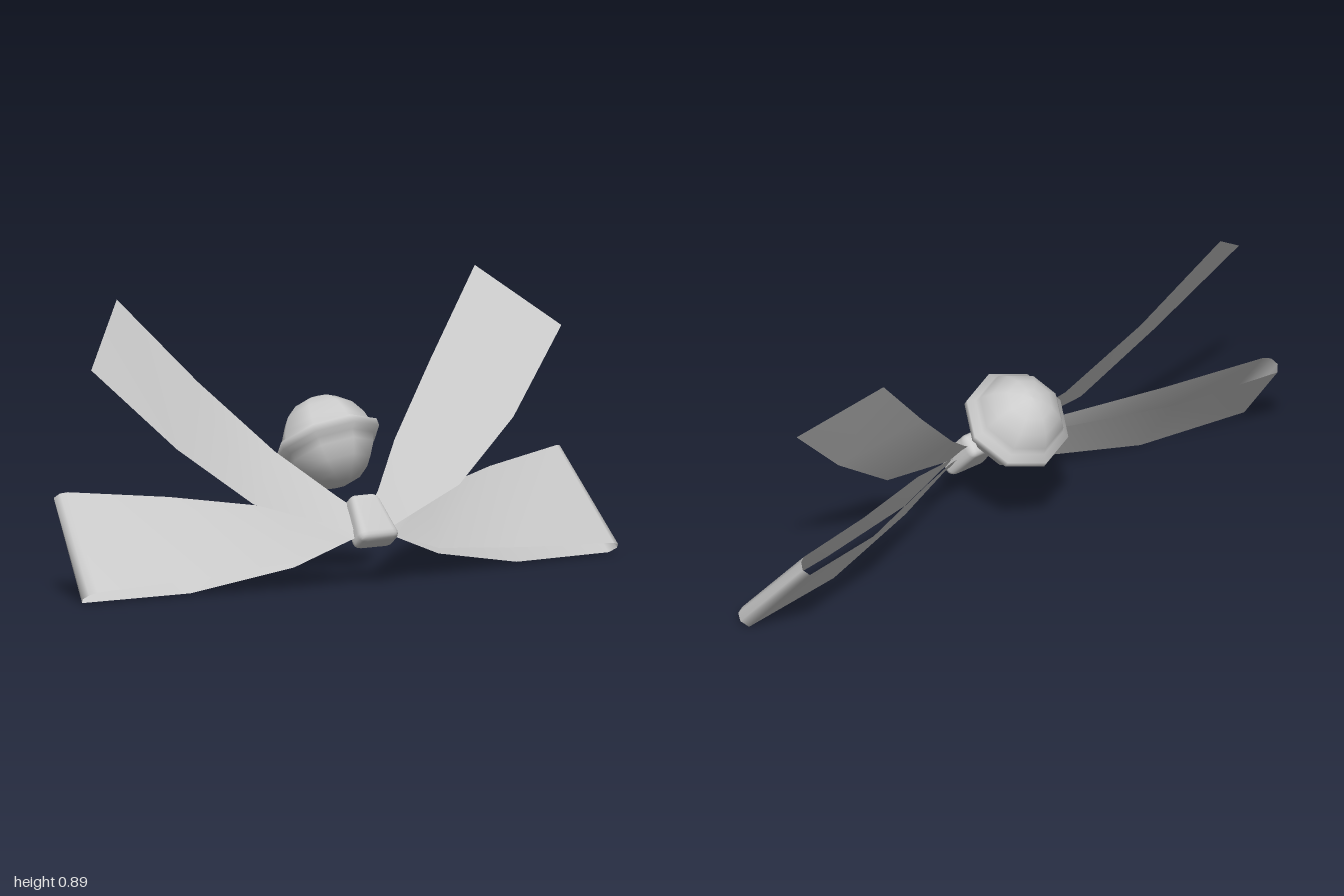
import * as THREE from 'three';
import { mergeVertices } from 'three/addons/utils/BufferGeometryUtils.js';
import { RoundedBoxGeometry } from 'three/addons/geometries/RoundedBoxGeometry.js';

const material = new THREE.MeshStandardMaterial({ color: 0xcccccc, side: THREE.DoubleSide });

function addMesh(parent, name, geometry) {
  const mesh = new THREE.Mesh(geometry, material);
  mesh.name = name;
  parent.add(mesh);
  return mesh;
}

// Ribbon spanned between two edge lines; side = 1 or -1 mirrors it in x
function ribbon(lower, upper, side) {
  const positions = [], index = [];
  lower.forEach((p, i) => {
    for (const [x, y, z] of [p, upper[i]]) positions.push(x * side, y, z);
    if (i === 0) return;
    const a = 2 * (i - 1), b = a + 1, c = a + 2, d = a + 3;
    if (side > 0) index.push(a, c, d, a, d, b);
    else index.push(a, d, c, a, b, d);
  });
  const geometry = new THREE.BufferGeometry();
  geometry.setAttribute('position', new THREE.Float32BufferAttribute(positions, 3));
  geometry.setIndex(index);
  geometry.computeVertexNormals();
  return geometry;
}

// Loop edges: out along the front layer, round the end, back along the rear layer
const loopLower = [
  [0.03, 0.16, 0.2], [0.09, 0.145, 0.195], [0.26, 0.09, 0.17], [0.6, 0.06, 0.13], [0.965, 0.04, 0.095],
  [0.99, 0.032, 0.085], [1, 0.017, 0.062], [0.985, 0.002, 0.038],
  [0.61, 0.008, 0.085], [0.27, 0.07, 0.155], [0.09, 0.14, 0.185], [0.03, 0.16, 0.19],
];
const loopUpper = [
  [0.03, 0.19, 0.17], [0.09, 0.19, 0.165], [0.28, 0.25, 0.08], [0.6, 0.293, -0.05], [0.915, 0.322, -0.145],
  [0.935, 0.318, -0.158], [0.945, 0.303, -0.178], [0.93, 0.287, -0.195],
  [0.6, 0.25, -0.1], [0.28, 0.225, 0.05], [0.09, 0.185, 0.155], [0.03, 0.19, 0.16],
];
// Tail edges from the knot to the tip
const tailLower = [[0.03, 0.165, 0.195], [0.09, 0.178, 0.18], [0.385, 0.27, 0.1], [0.63, 0.455, 0.037], [0.88, 0.71, -0.067]];
const tailUpper = [[0.03, 0.235, 0.13], [0.08, 0.275, 0.1], [0.225, 0.41, -0.022], [0.435, 0.63, -0.135], [0.67, 0.895, -0.236]];

export function createModel() {
  const model = new THREE.Group();
  model.name = 'bowWithBell';

  // Loops and tails, mirrored left and right
  for (const [label, side] of [['left', 1], ['right', -1]]) {
    addMesh(model, label + 'Loop', ribbon(loopLower, loopUpper, side));
    addMesh(model, label + 'Tail', ribbon(tailLower, tailUpper, side));
  }

  // Knot: soft block, narrowing towards the top
  let knot = new RoundedBoxGeometry(0.13, 0.165, 0.08, 2, 0.025);
  const p = knot.attributes.position;
  for (let i = 0; i < p.count; i++) p.setX(i, p.getX(i) * (0.98 - 2.4 * p.getY(i)));
  knot.deleteAttribute('normal');
  knot.deleteAttribute('uv');
  knot = mergeVertices(knot);
  knot.computeVertexNormals();
  const knotMesh = addMesh(model, 'knot', knot);
  knotMesh.position.set(0, 0.195, 0.165);
  knotMesh.rotation.x = -0.69;

  // Bell: eight-sided ball with a raised band, tilted back
  const radius = 0.148;
  const dome = [10, 20, 40, 60, 78].map((deg) => {
    const a = THREE.MathUtils.degToRad(deg);
    return [radius * Math.cos(a), radius * Math.sin(a)];
  });
  const profile = [
    [0, -radius],
    ...dome.slice().reverse().map(([r, y]) => [r, -y]),
    [0.17, -0.012], [0.17, 0.012],
    ...dome,
    [0, radius],
  ].map(([r, y]) => new THREE.Vector2(r, y));
  const bell = addMesh(model, 'bell', new THREE.LatheGeometry(profile, 8));
  bell.position.set(0, 0.416, -0.06);
  bell.rotation.x = -0.57;

  return model;
}
